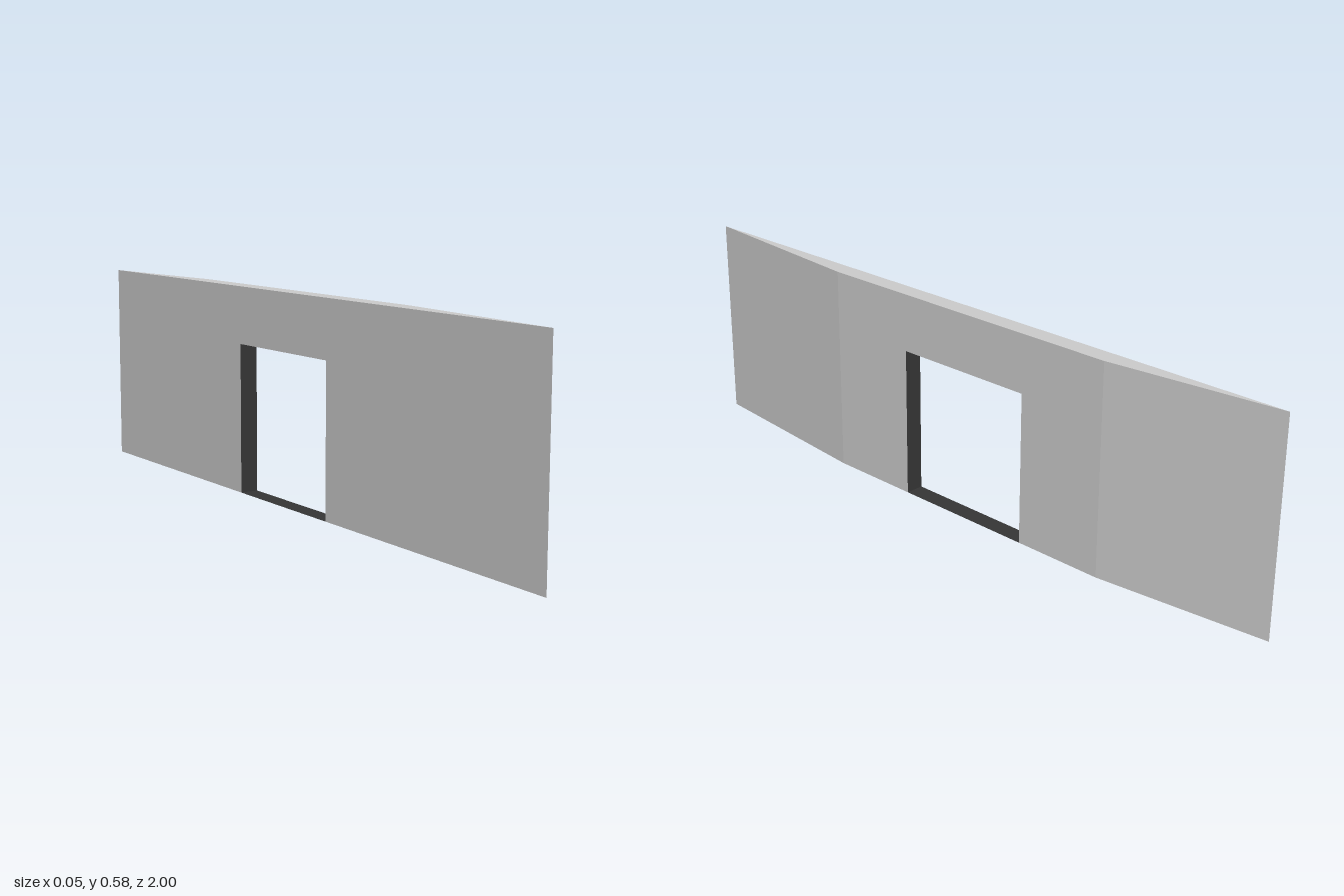
import * as THREE from 'three';

const wallGrey = new THREE.MeshStandardMaterial({ color: 0xcccccc });
wallGrey.name = 'wall grey';
const liningDark = new THREE.MeshStandardMaterial({ color: 0x363636, side: THREE.DoubleSide });
liningDark.name = 'lining dark';

const BACK = -0.026, FRONT = 0.026, TOP = 0.58, DOOR_TOP = 0.42;
const DOOR_A = 0.16, DOOR_B = -0.26;

// Flat-shaded mesh from quads, each four corners anticlockwise from outside
function quadMesh(name, quads, material) {
  const points = quads.flatMap(([a, b, c, d]) => [a, b, c, a, c, d]).flat();
  const geometry = new THREE.BufferGeometry();
  geometry.setAttribute('position', new THREE.Float32BufferAttribute(points, 3));
  geometry.computeVertexNormals();
  const mesh = new THREE.Mesh(geometry, material);
  mesh.name = name;
  return mesh;
}

export function createModel() {
  const group = new THREE.Group();
  group.name = 'wallWithDoorway';

  // Plan of the wall: flat back, face tapering to a sharp edge at both ends
  const plan = [[1, BACK], [0.43, FRONT], [DOOR_A, FRONT], [DOOR_B, FRONT], [-0.52, FRONT], [-1, BACK]];
  const wall = [];
  for (let i = 0; i < plan.length - 1; i++) {
    const [za, xa] = plan[i], [zb, xb] = plan[i + 1];
    const isDoor = za === DOOR_A;
    const y0 = isDoor ? DOOR_TOP : 0;
    wall.push([[xa, y0, za], [xb, y0, zb], [xb, TOP, zb], [xa, TOP, za]]);
    wall.push([[BACK, y0, zb], [BACK, y0, za], [BACK, TOP, za], [BACK, TOP, zb]]);
    wall.push([[BACK, TOP, za], [xa, TOP, za], [xb, TOP, zb], [BACK, TOP, zb]]);
    if (!isDoor) wall.push([[BACK, 0, zb], [xb, 0, zb], [xa, 0, za], [BACK, 0, za]]);
  }
  group.add(quadMesh('wall', wall, wallGrey));

  // Dark lining running round the doorway: threshold, jambs and lintel
  const opening = [[0, DOOR_A], [0, DOOR_B], [DOOR_TOP, DOOR_B], [DOOR_TOP, DOOR_A]];
  const lining = opening.map(([ya, za], i) => {
    const [yb, zb] = opening[(i + 1) % 4];
    return [[BACK, ya, za], [FRONT, ya, za], [FRONT, yb, zb], [BACK, yb, zb]];
  });
  group.add(quadMesh('doorwayLining', lining, liningDark));

  return group;
}
